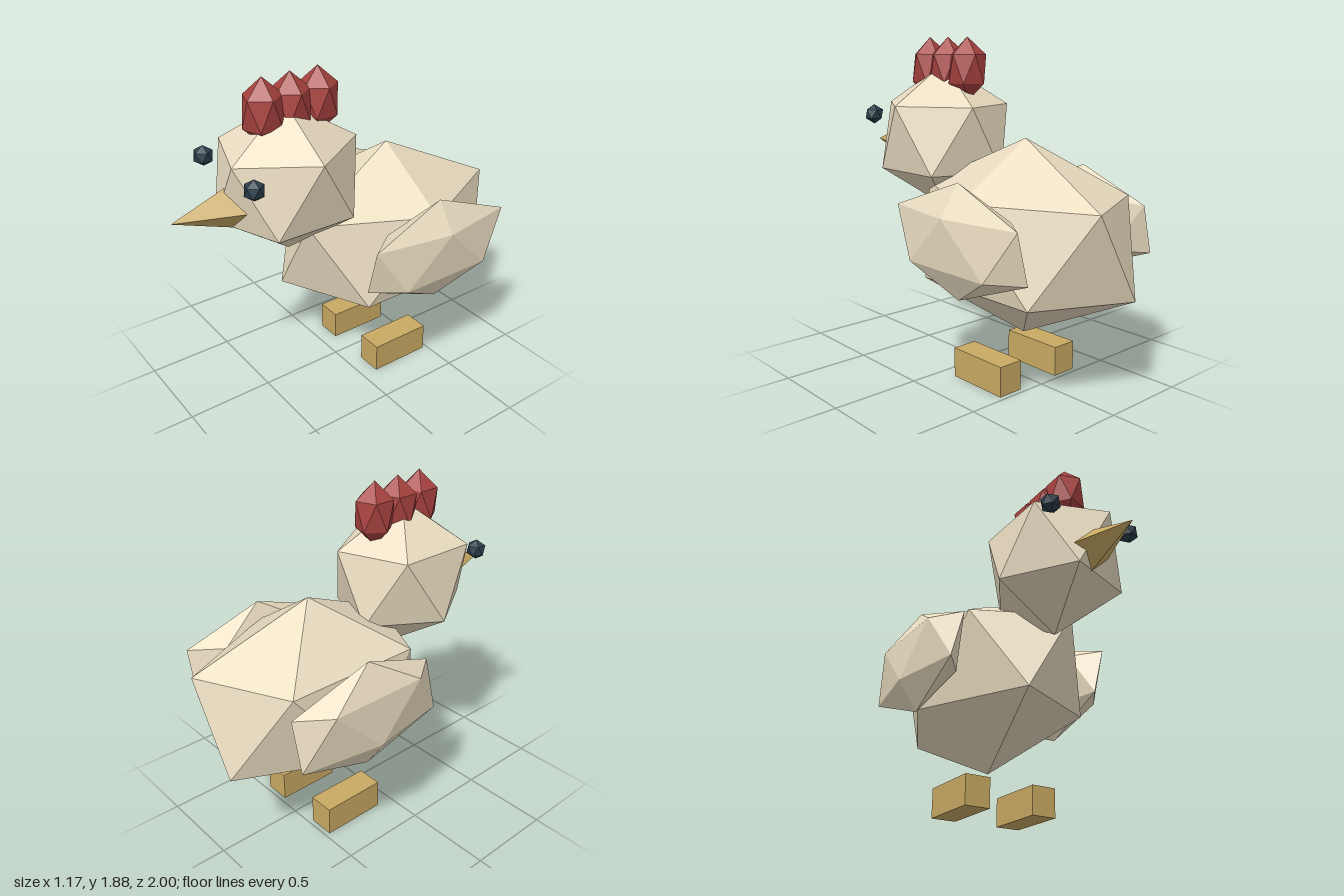
import * as THREE from 'three';

const material = (color) => new THREE.MeshStandardMaterial({ color, flatShading: true });

export function createModel() {
  const group = new THREE.Group();
  const cream = material(0xe9dcc0);
  const red = material(0xa8423f);
  const tan = material(0xc8a962);
  const dark = material(0x2c3f4c);

  // Icosahedron standing on a vertex, with one upper ring vertex towards +x
  const gem = new THREE.IcosahedronGeometry(1, 0);
  gem.rotateZ(-Math.atan(2 / (1 + Math.sqrt(5))));

  const add = (name, geometry, mat, position, scale = [1, 1, 1]) => {
    const mesh = new THREE.Mesh(geometry, mat);
    mesh.name = name;
    mesh.position.set(...position);
    mesh.scale.set(...scale);
    group.add(mesh);
  };

  // Body and head
  add('body', gem, cream, [0, 0.805, -0.355], [0.519, 0.54, 0.758]);
  add('head', gem, cream, [0, 1.3, 0.325], [0.397, 0.425, 0.447]);

  // Comb of three lobes
  [0.45, 0.285, 0.115].forEach((z, i) =>
    add(`combLobe${i + 1}`, gem, red, [0, 1.695, z], [0.117, 0.18, 0.123]));

  // Beak: four-sided cone pointing forward
  const beak = new THREE.ConeGeometry(0.13, 0.355, 4);
  beak.rotateX(Math.PI / 2);
  add('beak', beak, tan, [0, 1.23, 0.8225]);

  // Paired parts
  const foot = new THREE.BoxGeometry(0.15, 0.168, 0.375);
  for (const [side, s] of [['left', 1], ['right', -1]]) {
    add(`${side}Wing`, gem, cream, [s * 0.472, 0.853, -0.355], [0.128, 0.305, 0.541]);
    add(`${side}Eye`, gem, dark, [s * 0.26, 1.423, 0.67], [0.058, 0.058, 0.058]);
    add(`${side}Foot`, foot, tan, [s * 0.21, 0.084, -0.285]);
  }
  return group;
}
